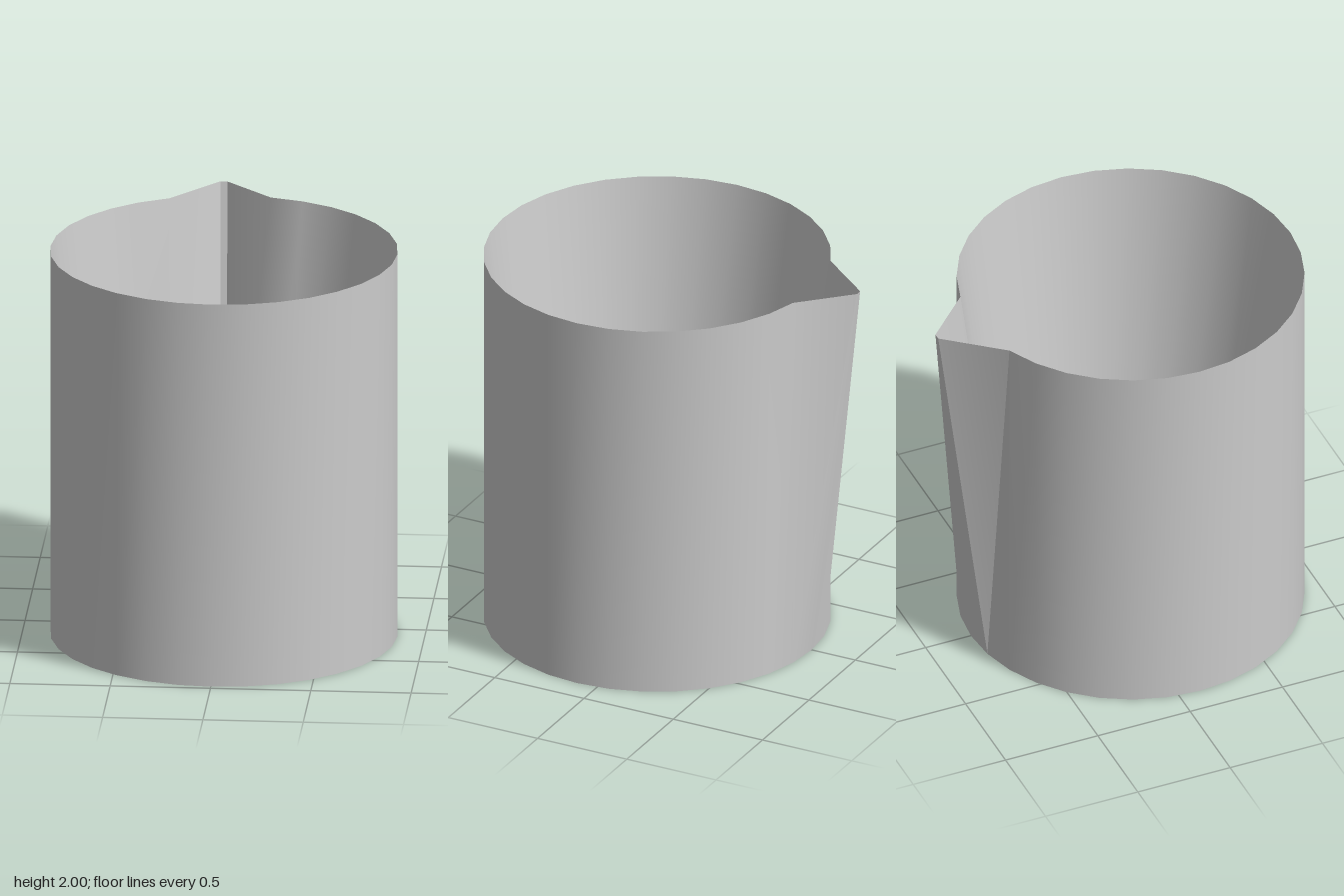
import * as THREE from 'three';
import { toCreasedNormals } from 'three/addons/utils/BufferGeometryUtils.js';

const SIDES = 32, RADIUS = 0.865, HEIGHT = 2, CENTER_Z = 0.11;
const FLOOR_Y = 0.1, FLOOR_SCALE = 0.716;

// Horizontal ring, counter-clockwise from the front; the two back points can be pulled into a spout
function ring(y, scale, spout) {
  const points = [];
  for (let i = 0; i < SIDES; i++) {
    const t = (i / SIDES) * Math.PI * 2;
    let x = Math.sin(t) * RADIUS, z = Math.cos(t) * RADIUS;
    if (spout && (i === 16 || i === 17)) {
      x = i === 16 ? -0.065 : -0.1;
      z = -1.085;
    }
    points.push([x * scale, y, CENTER_Z + z * scale]);
  }
  return points;
}

function toMesh(name, positions) {
  let geometry = new THREE.BufferGeometry();
  geometry.setAttribute('position', new THREE.Float32BufferAttribute(positions.flat(), 3));
  geometry = toCreasedNormals(geometry, 0.5);
  const mesh = new THREE.Mesh(geometry, new THREE.MeshStandardMaterial({ color: 0xcccccc }));
  mesh.name = name;
  return mesh;
}

// Wall between two rings
function wall(name, a, b) {
  const p = [];
  for (let i = 0; i < SIDES; i++) {
    const j = (i + 1) % SIDES;
    p.push(a[i], a[j], b[j], a[i], b[j], b[i]);
  }
  return toMesh(name, p);
}

// Flat disc filling a ring, facing up or down
function cap(name, r, up) {
  const p = [], center = [0, r[0][1], CENTER_Z];
  for (let i = 0; i < SIDES; i++) {
    const j = (i + 1) % SIDES;
    p.push(center, up ? r[i] : r[j], up ? r[j] : r[i]);
  }
  return toMesh(name, p);
}

export function createModel() {
  const group = new THREE.Group();
  group.name = 'beaker';

  const base = ring(0, 1, false);
  const rim = ring(HEIGHT, 1, true);
  const floor = ring(FLOOR_Y, FLOOR_SCALE, true);

  // Straight outer wall, flaring into the spout at the back
  group.add(wall('outerWall', base, rim));
  // Tapered inside, from the sharp rim to the small floor
  group.add(wall('innerWall', rim, floor));
  group.add(cap('innerFloor', floor, true));
  group.add(cap('base', base, false));
  return group;
}
